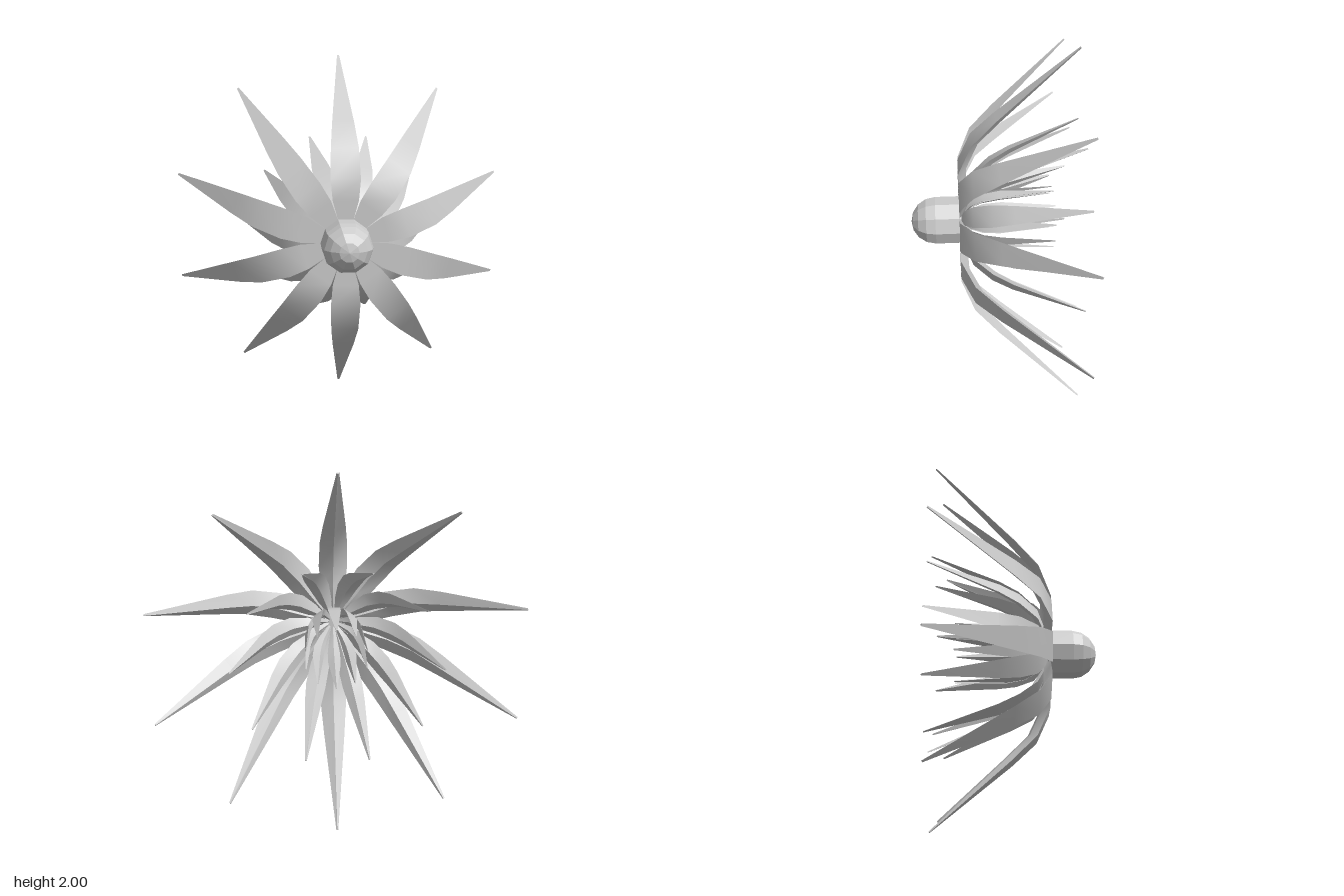
import * as THREE from 'three';

const material = new THREE.MeshStandardMaterial({ color: 0xcccccc });
const hubMaterial = new THREE.MeshStandardMaterial({ color: 0xcccccc, flatShading: true });

// Petal pointing along +y with a smooth front and a keeled back.
// Each section is [radius, z, half width, keel depth].
function petalGeometry(sections) {
  const last = sections.length - 1;
  const rings = sections.map(([r, z, w, depth], i) => {
    const a = sections[Math.max(i - 1, 0)];
    const b = sections[Math.min(i + 1, last)];
    const dr = b[0] - a[0], dz = b[1] - a[1], len = Math.hypot(dr, dz);
    return [
      [-w, r, z],
      [w, r, z],
      [0, r + depth * dz / len, z - depth * dr / len],
    ];
  });
  const positions = [], index = [];
  // Three strips with their own vertices: smooth lengthwise, sharp between
  for (const [a, b] of [[0, 1], [1, 2], [2, 0]]) {
    const start = positions.length / 3;
    rings.forEach((ring, i) => {
      positions.push(...ring[a], ...ring[b]);
      if (i < last) {
        const k = start + i * 2;
        index.push(k, k + 1, k + 3, k, k + 3, k + 2);
      }
    });
  }
  // End caps
  for (const tri of [[rings[0][0], rings[0][2], rings[0][1]], rings[last]]) {
    const k = positions.length / 3;
    positions.push(...tri.flat());
    index.push(k, k + 1, k + 2);
  }
  const geometry = new THREE.BufferGeometry();
  geometry.setAttribute('position', new THREE.Float32BufferAttribute(positions, 3));
  geometry.setIndex(index);
  geometry.computeVertexNormals();
  return geometry;
}

// Ring of ten equal petals around the z axis
function petalRing(name, sections, offset) {
  const ring = new THREE.Group();
  ring.name = name;
  const geometry = petalGeometry(sections);
  for (let i = 0; i < 10; i++) {
    const petal = new THREE.Mesh(geometry, material);
    petal.name = name + 'Petal';
    petal.rotation.z = offset + i * Math.PI / 5;
    ring.add(petal);
  }
  return ring;
}

export function createModel() {
  const group = new THREE.Group();
  group.name = 'flower';
  const flower = new THREE.Group();
  flower.name = 'flowerHead';
  flower.position.y = 1;
  group.add(flower);

  // Ten-sided hub with a domed front
  const radius = 0.135, shoulder = 0.33;
  const profile = [new THREE.Vector2(0, 0.19), new THREE.Vector2(radius, 0.19)];
  for (let i = 0; i <= 4; i++) {
    const t = i * Math.PI / 8;
    profile.push(new THREE.Vector2(i === 4 ? 0 : radius * Math.cos(t), shoulder + radius * Math.sin(t)));
  }
  const hub = new THREE.Mesh(
    new THREE.LatheGeometry(profile, 10, Math.PI / 2).rotateX(Math.PI / 2), hubMaterial);
  hub.name = 'hub';
  flower.add(hub);

  // Three rings: wide open, half open and nearly closed
  flower.add(petalRing('outer', [
    [0.06, 0.2, 0.02, 0.02],
    [0.13, 0.2, 0.042, 0.03],
    [0.23, 0.2, 0.07, 0.04],
    [0.34, 0.2, 0.08, 0.045],
    [0.5, 0.13, 0.075, 0.045],
    [0.63, 0, 0.06, 0.04],
    [1.0, -0.42, 0.006, 0.008],
  ], 0));
  flower.add(petalRing('middle', [
    [0.05, 0.19, 0.015, 0.015],
    [0.13, 0.18, 0.035, 0.025],
    [0.25, 0.13, 0.055, 0.035],
    [0.34, 0.03, 0.058, 0.035],
    [0.4, -0.08, 0.048, 0.03],
    [0.55, -0.46, 0.005, 0.006],
  ], Math.PI / 10));
  flower.add(petalRing('inner', [
    [0.03, 0.19, 0.01, 0.01],
    [0.1, 0.14, 0.025, 0.018],
    [0.14, 0.07, 0.035, 0.022],
    [0.16, -0.03, 0.035, 0.022],
    [0.17, -0.32, 0.004, 0.004],
  ], 0));
  return group;
}
